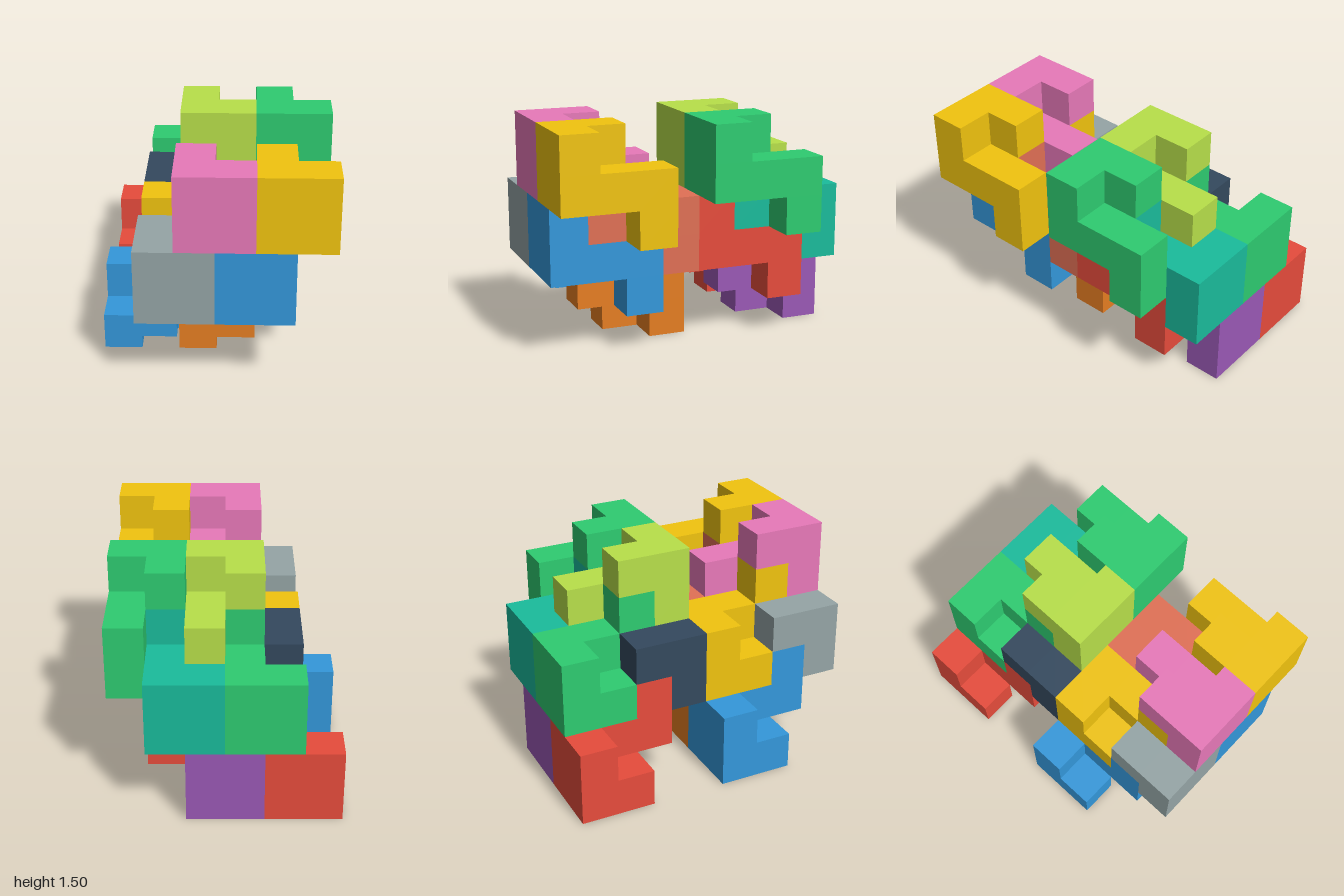
import * as THREE from 'three';
import { mergeGeometries } from 'three/addons/utils/BufferGeometryUtils.js';

const U = 0.25; // edge of one unit cell

// One interlocking piece: a 2x2x2 block with two notches and a hooked arm
const CELLS = [
  [0, 1, 0], [0, 0, 1], [0, 1, 1],
  [1, 0, 0], [1, 0, 1], [1, 1, 1],
  [1, 0, -1], [1, -1, -1],
];

// Outer skin of the piece, centred on its 2x2x2 block
function pieceGeometry() {
  const filled = new Set(CELLS.map(String));
  const front = new THREE.Vector3(0, 0, 1);
  const faces = [];
  for (const c of CELLS) {
    for (const axis of [0, 1, 2]) {
      for (const sign of [-1, 1]) {
        const dir = [0, 0, 0];
        dir[axis] = sign;
        if (filled.has(String(c.map((v, i) => v + dir[i])))) continue;
        const normal = new THREE.Vector3(...dir);
        const turn = new THREE.Quaternion().setFromUnitVectors(front, normal);
        const at = c.map((v, i) => (v - 0.5 + dir[i] / 2) * U);
        faces.push(new THREE.PlaneGeometry(U, U).applyQuaternion(turn).translate(...at));
      }
    }
  }
  return mergeGeometries(faces);
}

// Block corner in cells; 'turned' pieces are rolled half a turn about x.
// Colours are for the front cluster and the back cluster.
const PIECES = [
  { name: 'topLeftPiece', at: [1, 4, 2], colors: [0xf1c40f, 0x2ecc71] },
  { name: 'topRightPiece', at: [-1, 4, 2], colors: [0xe879b9, 0xb8e04a] },
  { name: 'middleLeftPiece', at: [0, 2, 2], colors: [0x3498db, 0xe74c3c] },
  { name: 'middleRightPiece', at: [-2, 2, 2], colors: [0x95a5a6, 0x34495e] },
  { name: 'innerLeftPiece', at: [0, 2, 0], turned: true, colors: [0xe17055, 0x1abc9c] },
  { name: 'innerRightPiece', at: [-2, 2, 0], turned: true, colors: [0xf1c40f, 0x2ecc71] },
  { name: 'bottomLeftPiece', at: [-1, 0, 0], turned: true, colors: [0xe67e22, 0x9b59b6] },
  { name: 'bottomRightPiece', at: [-3, 0, 0], turned: true, colors: [0x3498db, 0xe74c3c] },
];

export function createModel() {
  const model = new THREE.Group();
  model.name = 'interlockingBlocks';
  const upright = pieceGeometry();
  const rolled = upright.clone().rotateX(Math.PI);

  // The same cluster of eight pieces stands twice, one behind the other
  ['frontCluster', 'backCluster'].forEach((name, k) => {
    const cluster = new THREE.Group();
    cluster.name = name;
    cluster.position.z = -4 * U * k;
    for (const p of PIECES) {
      const material = new THREE.MeshStandardMaterial({ color: p.colors[k] });
      const mesh = new THREE.Mesh(p.turned ? rolled : upright, material);
      mesh.name = p.name;
      mesh.position.set(...p.at.map((v) => (v + 1) * U));
      cluster.add(mesh);
    }
    model.add(cluster);
  });
  return model;
}
